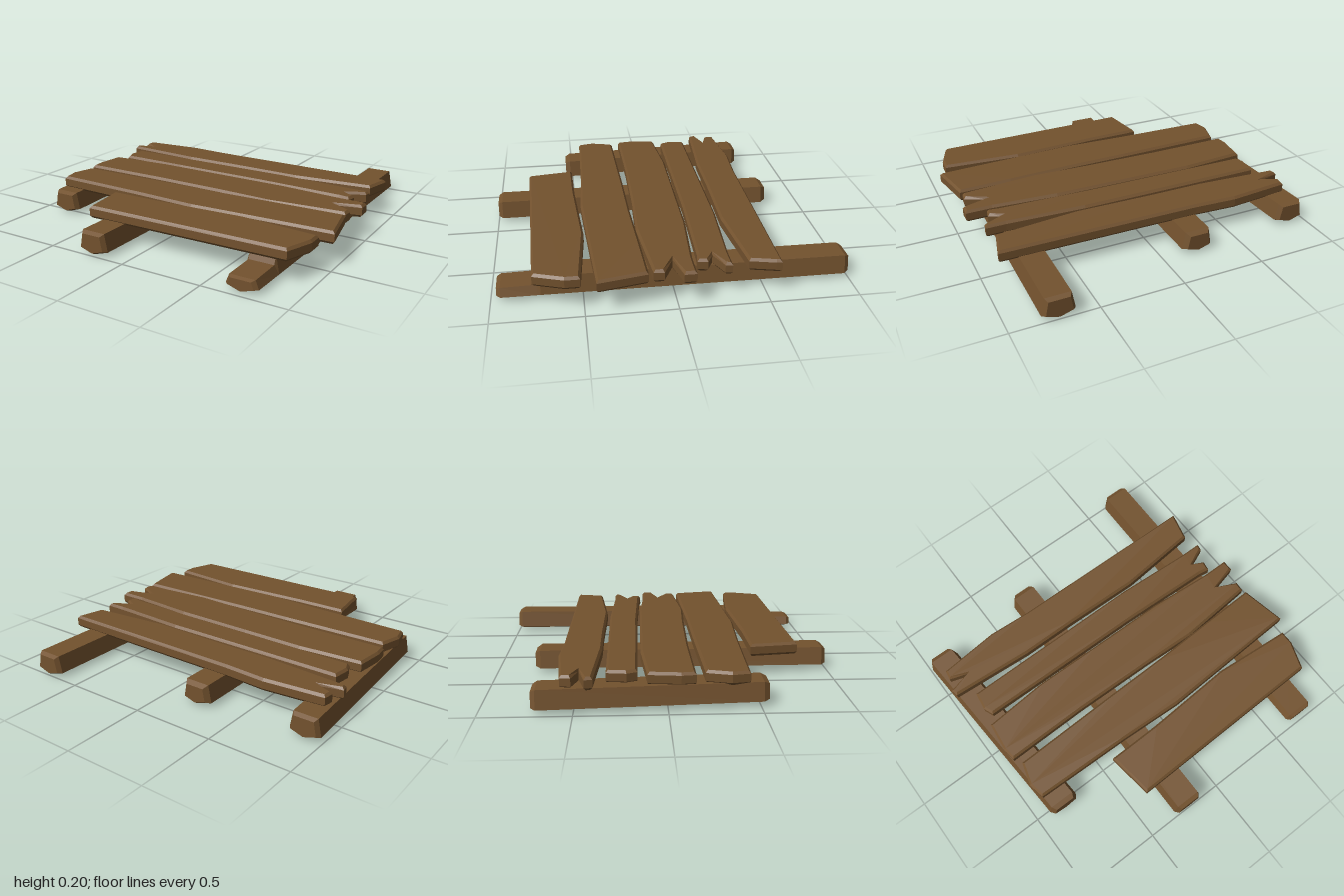
import * as THREE from 'three';

const wood = new THREE.MeshStandardMaterial({ color: 0x73522e });
wood.name = 'brown wood';

// Plank outlines as [x, z], with split and slanted ends
const planks = {
  backPlank: [[-0.93, -0.57], [-0.56, -0.605], [-0.3, -0.59], [0.91, -0.578], [0.905, -0.545], [0.87, -0.4],
    [0.37, -0.35], [-0.11, -0.36], [-0.45, -0.36], [-0.96, -0.395], [-0.97, -0.44], [-0.83, -0.475], [-0.94, -0.51]],
  narrowPlank: [[-0.86, -0.33], [0.3, -0.33], [0.78, -0.305], [0.9, -0.305], [0.895, -0.265], [0.78, -0.215],
    [0.85, -0.18], [0.84, -0.12], [0.77, -0.13], [0.2, -0.15], [-0.4, -0.155], [-0.85, -0.16], [-0.875, -0.22]],
  middlePlank: [[-0.9, -0.11], [-0.5, -0.14], [-0.1, -0.135], [0.4, -0.13], [0.8, -0.1], [0.96, -0.1], [0.96, -0.03],
    [0.8, 0.01], [0.925, 0.07], [0.92, 0.13], [0.8, 0.14], [0.45, 0.17], [0.1, 0.155], [-0.4, 0.145], [-0.91, 0.15], [-0.92, 0.07]],
  widePlank: [[-0.88, 0.2], [-0.2, 0.185], [0.2, 0.18], [0.6, 0.165], [0.93, 0.155], [0.985, 0.435],
    [0.1, 0.475], [-0.3, 0.455], [-0.9, 0.44], [-0.92, 0.34]],
  shortFrontPlank: [[-0.43, 0.51], [-0.1, 0.505], [0.45, 0.475], [0.93, 0.515], [0.93, 0.6], [0.87, 0.77], [-0.39, 0.795]],
};

// Bevelled plank between y = 0.125 and y = 0.2
function makePlank(name, outline) {
  const shape = new THREE.Shape(outline.map(([x, z]) => new THREE.Vector2(x, -z)));
  const geo = new THREE.ExtrudeGeometry(shape, {
    depth: 0.045, bevelEnabled: true, bevelSegments: 1, bevelThickness: 0.015, bevelSize: 0.013, bevelOffset: -0.013,
  });
  geo.rotateX(-Math.PI / 2).translate(0, 0.14, 0);
  const mesh = new THREE.Mesh(geo, wood);
  mesh.name = name;
  return mesh;
}

// Five-sided beam lofted through sections [z, top height, end scale], leaning from xBack to xFront
function makeBeam(name, xBack, xFront, sections) {
  const z0 = sections[0][0], z1 = sections[sections.length - 1][0];
  const rings = sections.map(([z, top, s]) => {
    const cx = THREE.MathUtils.mapLinear(z, z0, z1, xBack, xFront), mid = top / 2;
    return [[-0.075, top], [-0.095, 0.03], [0, 0], [0.095, 0.03], [0.075, top]]
      .map(([x, y]) => [cx + x * s, mid + (y - mid) * s, z]);
  });
  const pos = [];
  const tri = (a, b, c) => pos.push(...a, ...b, ...c);
  for (let i = 0; i < rings.length - 1; i++) {
    for (let k = 0; k < 5; k++) {
      const n = (k + 1) % 5, p = rings[i], q = rings[i + 1];
      tri(p[k], p[n], q[n]);
      tri(p[k], q[n], q[k]);
    }
  }
  // End caps
  const back = rings[0], front = rings[rings.length - 1];
  for (let k = 1; k < 4; k++) {
    tri(front[0], front[k], front[k + 1]);
    tri(back[0], back[k + 1], back[k]);
  }
  const geo = new THREE.BufferGeometry();
  geo.setAttribute('position', new THREE.Float32BufferAttribute(pos, 3));
  geo.computeVertexNormals();
  const mesh = new THREE.Mesh(geo, wood);
  mesh.name = name;
  return mesh;
}

export function createModel() {
  const group = new THREE.Group();
  group.name = 'woodenPlatform';
  for (const [name, outline] of Object.entries(planks)) group.add(makePlank(name, outline));

  const H = 0.135;
  group.add(makeBeam('rightBeam', -0.895, -0.815, [[-0.72, H, 0.8], [-0.695, H, 1], [0.515, H, 1], [0.545, H, 0.8]]));
  group.add(makeBeam('middleBeam', -0.22, -0.215, [[-0.77, H, 0.75], [-0.74, H, 1], [0.97, H, 1], [0.995, H, 0.8]]));
  // The left beam steps down at its front end
  group.add(makeBeam('leftBeam', 0.725, 0.715,
    [[-1, H, 0.8], [-0.975, H, 1], [0.73, H, 1], [0.75, 0.085, 1], [0.945, 0.08, 1], [0.967, 0.08, 0.8]]));
  return group;
}
